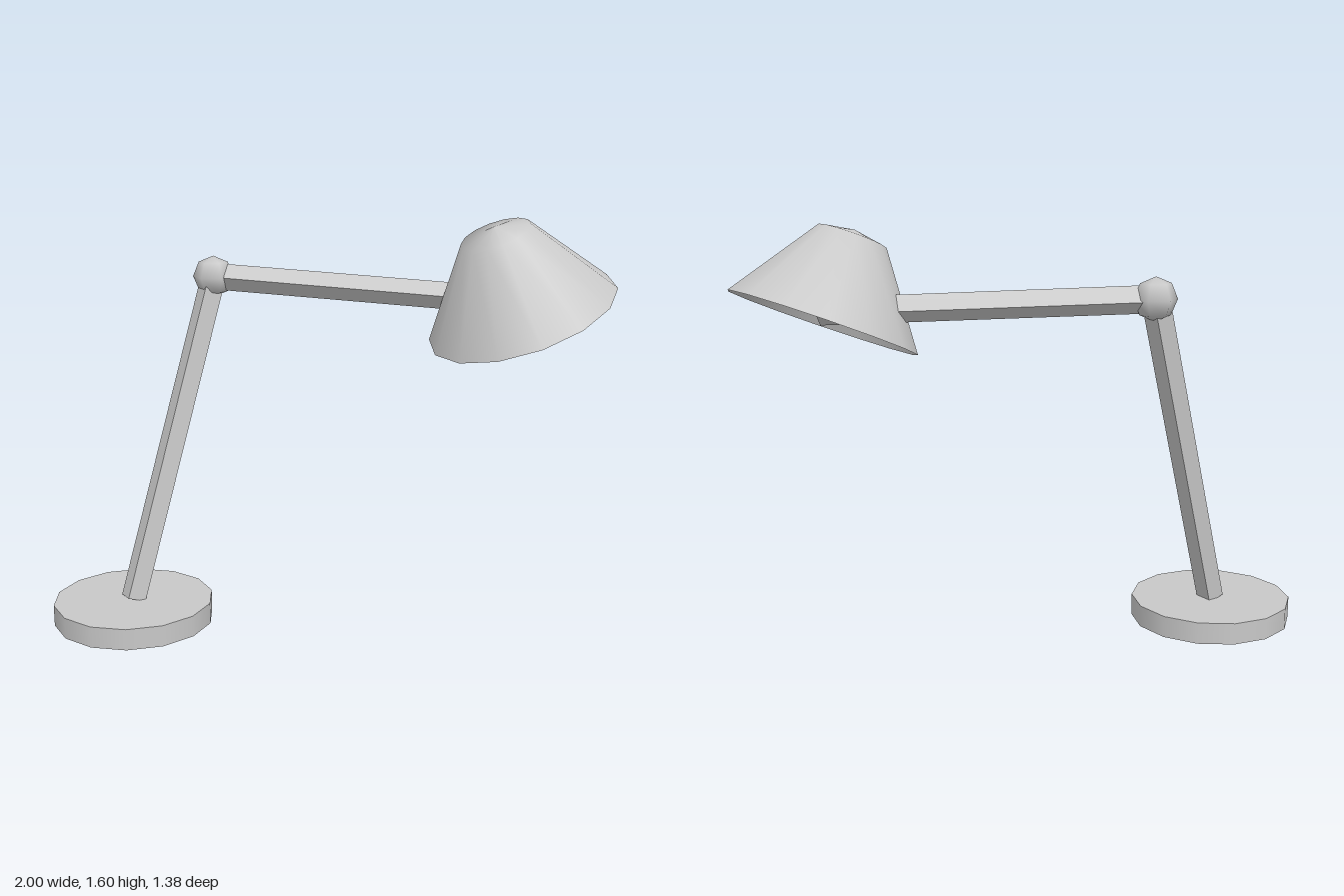
import * as THREE from 'three';

const grey = new THREE.MeshStandardMaterial({ color: 0xc8c8c8 });
grey.name = 'light grey';
grey.side = THREE.DoubleSide;

function addPart(group, name, geometry, x, y, z) {
  const mesh = new THREE.Mesh(geometry, grey);
  mesh.name = name;
  mesh.position.set(x, y, z);
  group.add(mesh);
  return mesh;
}

// Square bar running from one point to another
function addArm(group, name, from, to) {
  const dir = to.clone().sub(from);
  const mid = from.clone().add(to).multiplyScalar(0.5);
  const arm = addPart(group, name, new THREE.BoxGeometry(0.074, dir.length(), 0.074), mid.x, mid.y, mid.z);
  arm.quaternion.setFromUnitVectors(new THREE.Vector3(0, 1, 0), dir.normalize());
}

export function createModel() {
  const lamp = new THREE.Group();
  lamp.name = 'deskLamp';

  const foot = new THREE.Vector3(-0.69, 0.085, -0.375);
  const elbow = new THREE.Vector3(-0.265, 1.34, -0.483);
  const head = new THREE.Vector3(0.68, 1.28, 0.315);

  // Round base
  addPart(lamp, 'base', new THREE.CylinderGeometry(0.317, 0.317, 0.085, 14), foot.x, 0.0425, foot.z);

  // Two arms meeting at a ball joint
  addArm(lamp, 'lowerArm', foot, elbow);
  addArm(lamp, 'upperArm', elbow, head);
  const ball = addPart(lamp, 'joint', new THREE.SphereGeometry(0.082, 6, 4), elbow.x, elbow.y, elbow.z);
  ball.rotation.y = Math.PI / 6;

  // Open conical shade with a shallow crown, tilted about z
  const profile = [[0.372, 0], [0.135, 0.34], [0, 0.367]].map(([r, y]) => new THREE.Vector2(r, y));
  const shade = addPart(lamp, 'shade', new THREE.LatheGeometry(profile, 14), 0.663, 1.235, 0.318);
  shade.rotation.z = 0.4;

  return lamp;
}
